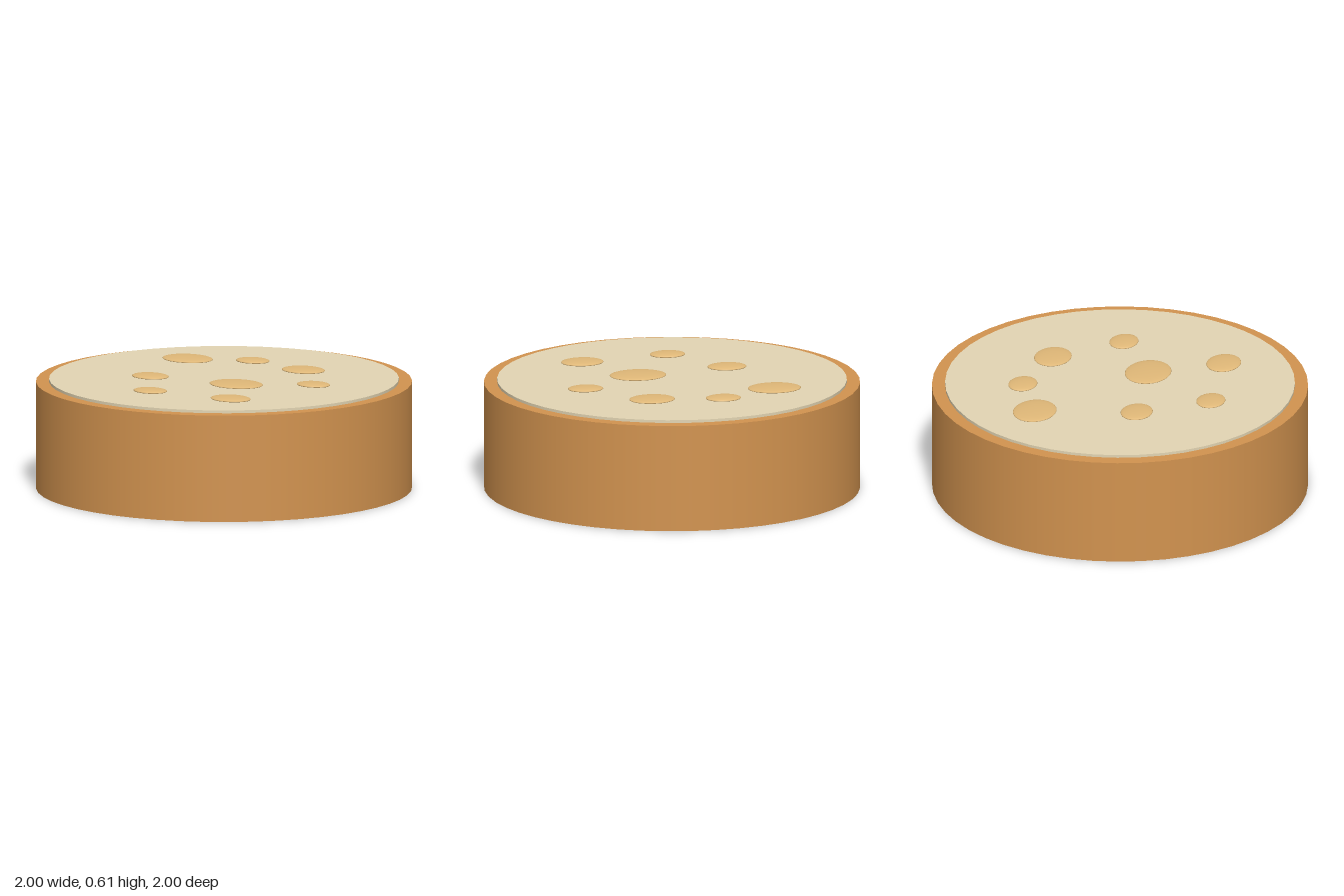
import * as THREE from 'three';

const mat = (color) => new THREE.MeshStandardMaterial({ color });

export function createModel() {
  const model = new THREE.Group();

  const add = (name, geometry, material, x, y, z) => {
    const mesh = new THREE.Mesh(geometry, material);
    mesh.name = name;
    mesh.position.set(x, y, z);
    model.add(mesh);
    return mesh;
  };

  // Round crust and the thin pale disc on top of it
  add('crust', new THREE.CylinderGeometry(1, 1, 0.575, 48), mat(0xd2934f), 0, 0.2875, 0);
  add('topLayer', new THREE.CylinderGeometry(0.93, 0.93, 0.04, 48), mat(0xe3d5b3), 0, 0.57, 0);

  // Flattened oval spots: x, z, half width
  const spots = [
    [-0.48, -0.335, 0.143],
    [-0.165, -0.49, 0.095],
    [0.21, -0.43, 0.123],
    [0.5, -0.12, 0.095],
    [0.16, 0.11, 0.152],
    [-0.345, 0.19, 0.105],
    [0.38, 0.465, 0.114],
    [-0.1, 0.53, 0.095],
  ];
  const spotGeometry = new THREE.SphereGeometry(1, 32, 16);
  const spotMaterial = mat(0xe0b878);
  spots.forEach(([x, z, r], i) => {
    add(`spot${i + 1}`, spotGeometry, spotMaterial, x, 0.593, z).scale.set(r, 0.013, r * 0.8);
  });

  return model;
}
